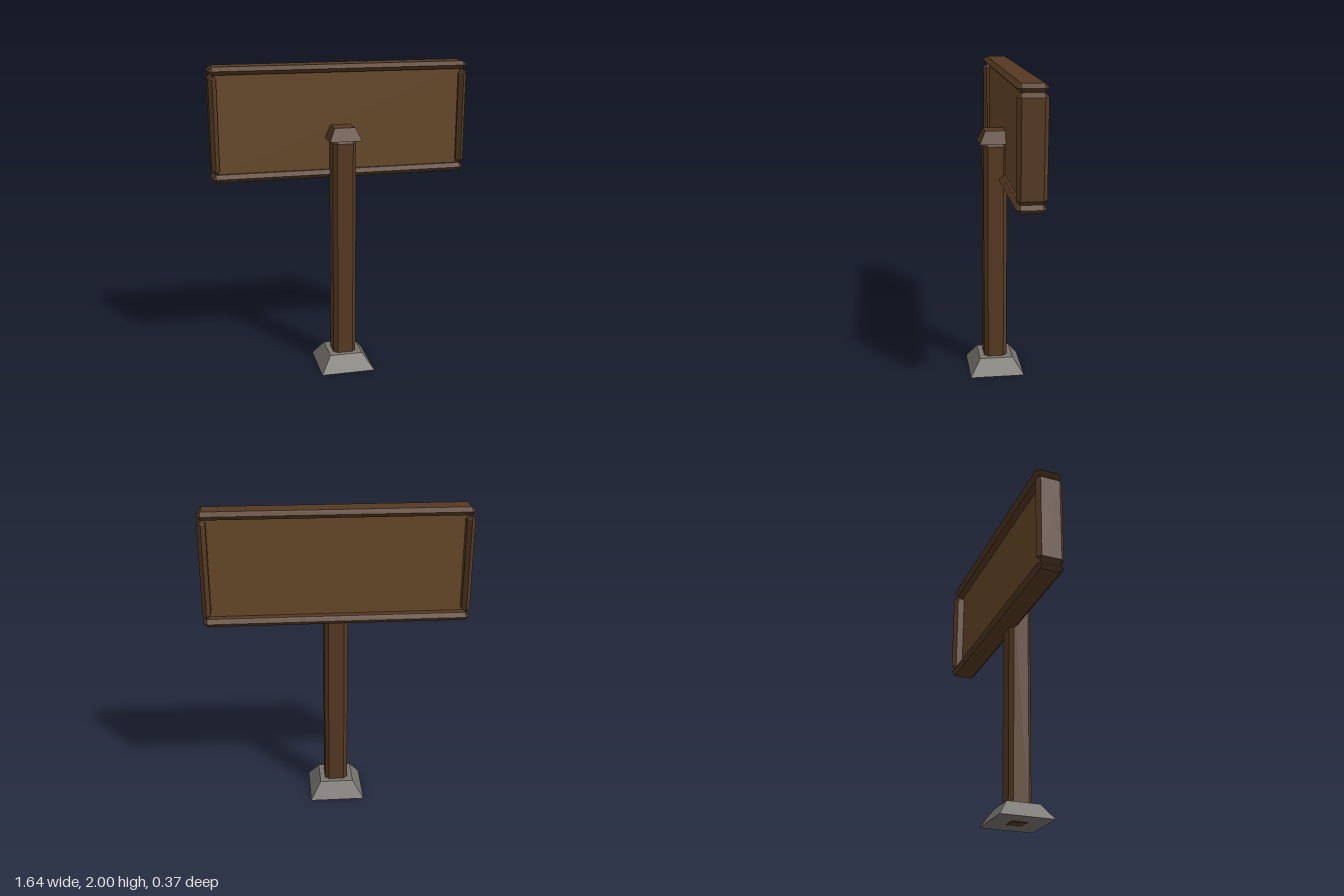
import * as THREE from 'three';
import { ConvexGeometry } from 'three/addons/geometries/ConvexGeometry.js';

const material = (color) => new THREE.MeshStandardMaterial({ color, flatShading: true });

// Box with every edge and corner cut off at 45 degrees
function chamferedBox(w, h, d, b) {
  const [x, y, z] = [w / 2, h / 2, d / 2];
  const points = [];
  for (const sx of [-1, 1]) for (const sy of [-1, 1]) for (const sz of [-1, 1]) {
    points.push(
      new THREE.Vector3(sx * x, sy * (y - b), sz * (z - b)),
      new THREE.Vector3(sx * (x - b), sy * y, sz * (z - b)),
      new THREE.Vector3(sx * (x - b), sy * (y - b), sz * z)
    );
  }
  return new ConvexGeometry(points);
}

// Square block that tapers towards the top
function taperedBlock(topHalf, bottomHalf, height) {
  const r = Math.SQRT2;
  return new THREE.CylinderGeometry(topHalf * r, bottomHalf * r, height, 4).rotateY(Math.PI / 4);
}

export function createModel() {
  const model = new THREE.Group();
  model.name = 'signpost';
  const wood = material(0x553a22);
  const board = material(0x664829);
  const stone = material(0x77746d);

  const add = (name, geometry, mat, x, y, z) => {
    const mesh = new THREE.Mesh(geometry, mat);
    mesh.name = name;
    mesh.position.set(x, y, z);
    model.add(mesh);
  };

  const bevel = 0.025;
  const postZ = 0.01;
  const frameZ = -0.098;

  // Stone foot, post and cap
  add('foot', taperedBlock(0.108, 0.177, 0.103), stone, 0, 0.0535, postZ);
  add('post', chamferedBox(0.15, 1.545, 0.15, bevel), wood, 0, 0.7725, postZ);
  add('postCap', taperedBlock(0.065, 0.102, 0.08), wood, 0, 1.58, postZ);

  // Board, set deeper from the back than from the front
  add('panel', new THREE.BoxGeometry(1.56, 0.65, 0.065), board, 0, 1.643, -0.083);

  // Frame: long rails above and below, short rails between them
  const longRail = chamferedBox(1.64, 0.05, 0.177, bevel);
  add('topRail', longRail, wood, 0, 1.975, frameZ);
  add('bottomRail', longRail, wood, 0, 1.311, frameZ);
  const sideRail = chamferedBox(0.05, 0.614, 0.177, bevel);
  add('leftRail', sideRail, wood, 0.795, 1.643, frameZ);
  add('rightRail', sideRail, wood, -0.795, 1.643, frameZ);

  return model;
}
